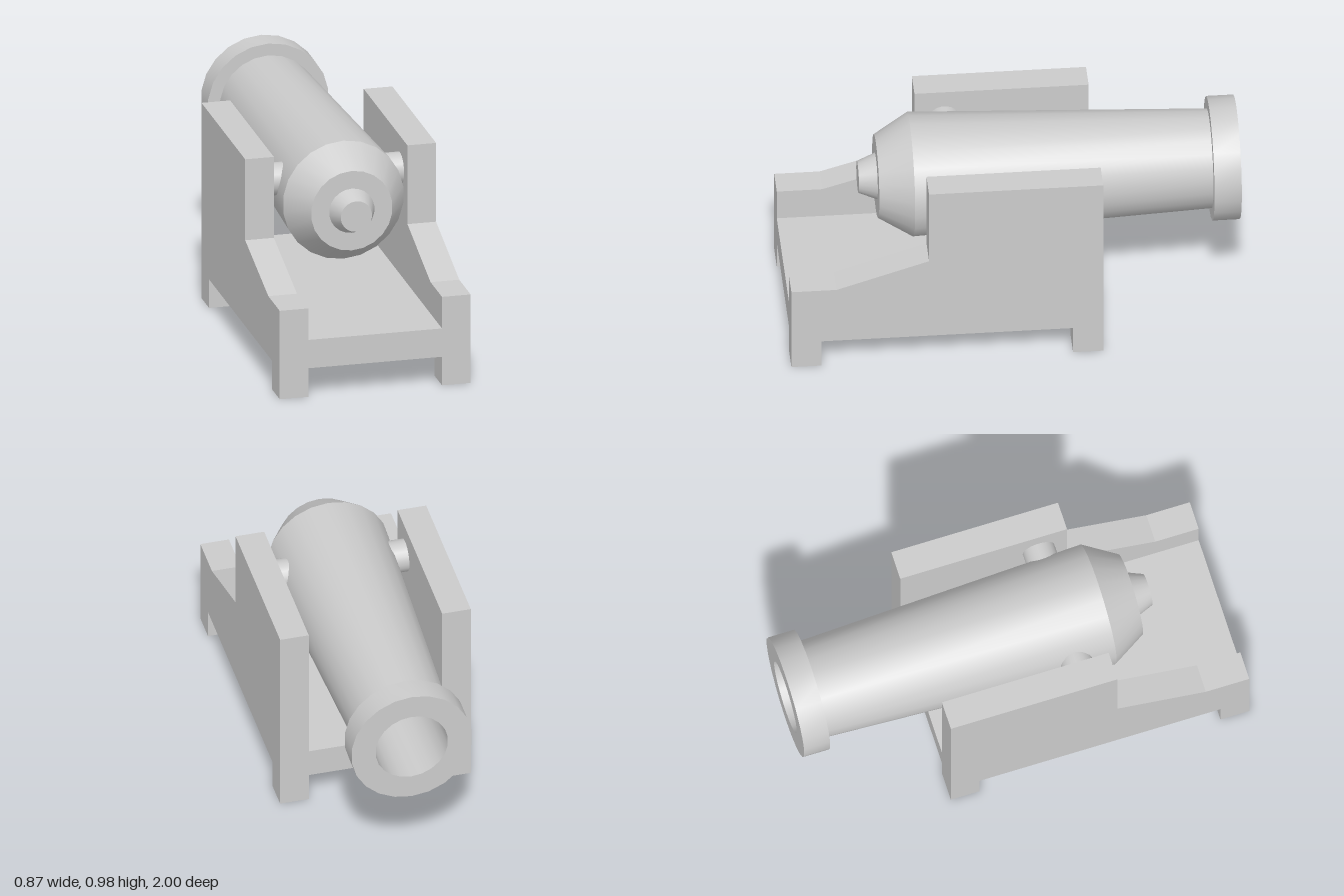
import * as THREE from 'three';
import { toCreasedNormals } from 'three/addons/utils/BufferGeometryUtils.js';

const material = new THREE.MeshStandardMaterial({ color: 0xcccccc });
const AXIS_Y = 0.7;          // height of the barrel axis
const INNER = 0.303, OUTER = 0.433; // inner and outer faces of the cheeks
const FRONT = 1, BACK = -0.375;     // ends of the carriage
const FOOT = 0.133;          // height and length of the feet

function addMesh(parent, name, geometry, x = 0, y = 0, z = 0) {
  const mesh = new THREE.Mesh(geometry, material);
  mesh.name = name;
  mesh.position.set(x, y, z);
  parent.add(mesh);
  return mesh;
}

// Stepped side board with two feet, drawn in (z, y) and extruded across x
function cheekGeometry(stepY) {
  const shape = new THREE.Shape([
    [FRONT, 0], [FRONT, 0.412], [0.8, 0.412], [0.393, stepY], [0.393, 0.91],
    [BACK, 0.91], [BACK, 0], [BACK + FOOT, 0], [BACK + FOOT, FOOT],
    [FRONT - FOOT, FOOT], [FRONT - FOOT, 0],
  ].map(([z, y]) => new THREE.Vector2(z, y)));
  const geometry = new THREE.ExtrudeGeometry(shape, { depth: OUTER - INNER, bevelEnabled: false });
  return geometry.rotateY(-Math.PI / 2);
}

// Bore, muzzle ring, tapered tube, breech and knob in one turned profile (radius, z)
function barrelGeometry() {
  const profile = [
    [0, 0.2], [0.165, 0.2], [0.165, -1], [0.275, -1], [0.275, -0.88],
    [0.22, -0.88], [0.275, 0.44], [0.185, 0.59], [0.103, 0.59], [0.071, 0.67], [0, 0.67],
  ].map(([r, z]) => new THREE.Vector2(r, z));
  const geometry = new THREE.LatheGeometry(profile, 22).rotateX(Math.PI / 2);
  return toCreasedNormals(geometry, 0.4);
}

export function createModel() {
  const model = new THREE.Group();
  model.name = 'cannon';

  // Carriage
  const carriage = new THREE.Group();
  carriage.name = 'carriage';
  model.add(carriage);
  addMesh(carriage, 'leftCheek', cheekGeometry(0.543), OUTER);
  addMesh(carriage, 'rightCheek', cheekGeometry(0.533), -INNER);
  addMesh(carriage, 'bed', new THREE.BoxGeometry(2 * INNER, 0.132, FRONT - BACK),
    0, FOOT + 0.066, (FRONT + BACK) / 2);

  // Barrel
  addMesh(model, 'barrel', barrelGeometry(), 0, AXIS_Y, 0);

  // Trunnions joining the barrel to the cheeks
  for (const side of [1, -1]) {
    const pin = new THREE.CylinderGeometry(0.073, 0.073, 0.12, 22).rotateZ(Math.PI / 2);
    addMesh(model, side > 0 ? 'leftTrunnion' : 'rightTrunnion', pin, side * 0.25, 0.76, 0.262);
  }

  return model;
}
